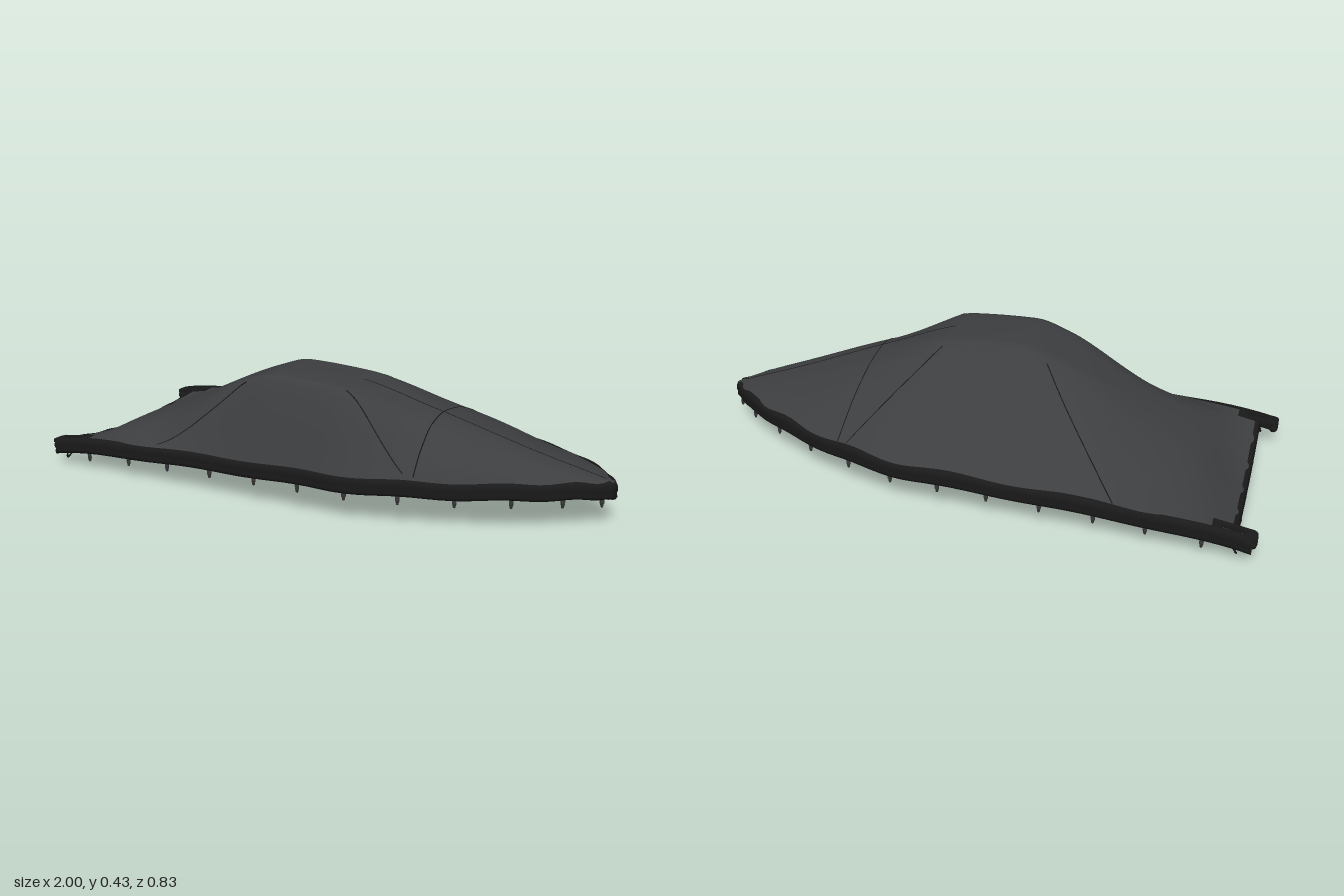
import * as THREE from 'three';

// Cross-section shapes: z as a share of the half width, rise as a share of edge-to-crest
const sag = { z: [-.73, -.37, 0, .24, .49, .73, .88], rise: [.35, .75, 1, .96, .65, .35, .12] };
const hump = { z: sag.z, rise: [.35, .72, .96, 1, .96, .68, .25] };
const peak = { z: [-.49, -.17, .04, .15, .5, .71, .79], rise: [.47, .75, .93, .99, 1, .98, .79] };
const dome = { z: [-.58, -.29, 0, .32, .58, .75, .9], rise: [.49, .75, .925, 1, .9, .66, .32] };

// Stations from stern to bow: x, half width, edge height, crest height, shape
const STATIONS = [
  [-1, .41, .088, .055, sag], [-.93, .41, .1, .06, sag], [-.75, .41, .118, .16, hump],
  [-.55, .41, .13, .245, hump], [-.22, .41, .143, .396, peak], [-.1, .41, .147, .43, peak],
  [.14, .41, .153, .418, peak], [.43, .345, .155, .328, dome], [.75, .2, .155, .218, dome],
  [.9, .1, .153, .172, dome], [.985, .015, .142, .145, dome],
].map(([x, half, edge, crest, shape]) => ({
  x,
  z: [-1, ...shape.z, 1].map(f => f * half),
  y: [0, ...shape.rise, 0].map(f => edge + f * (crest - edge)),
}));

// Monotone cubic interpolation through points xs, ys
function smooth(xs, ys, x) {
  const n = xs.length;
  x = Math.min(Math.max(x, xs[0]), xs[n - 1]);
  let i = 0;
  while (i < n - 2 && x > xs[i + 1]) i++;
  const d = k => (ys[k + 1] - ys[k]) / (xs[k + 1] - xs[k]);
  const m = k => {
    if (k === 0) return d(0);
    if (k === n - 1) return d(n - 2);
    const a = d(k - 1), b = d(k);
    return a * b <= 0 ? 0 : 2 * a * b / (a + b);
  };
  const h = xs[i + 1] - xs[i], t = (x - xs[i]) / h, t2 = t * t, t3 = t2 * t;
  return (2 * t3 - 3 * t2 + 1) * ys[i] + (t3 - 2 * t2 + t) * h * m(i)
    + (3 * t2 - 2 * t3) * ys[i + 1] + (t3 - t2) * h * m(i + 1);
}

const STATION_X = STATIONS.map(s => s.x);
const column = (axis, k, x) => smooth(STATION_X, STATIONS.map(s => s[axis][k]), x);
const halfWidth = x => column('z', 8, x);
const edgeY = x => column('y', 8, x);
function height(x, z) {
  const zs = [], ys = [];
  for (let k = 0; k < 9; k++) {
    zs.push(column('z', k, x));
    ys.push(column('y', k, x));
  }
  return smooth(zs, ys, z);
}

// Surface from a grid of points; skip(i, j) leaves out a cell
function grid(nu, nv, point, skip = () => false) {
  const pos = [], idx = [];
  for (let i = 0; i <= nu; i++) for (let j = 0; j <= nv; j++) pos.push(...point(i, j));
  for (let i = 0; i < nu; i++) for (let j = 0; j < nv; j++) {
    if (skip(i, j)) continue;
    const a = i * (nv + 1) + j, b = a + nv + 1;
    idx.push(a, a + 1, b, b, a + 1, b + 1);
  }
  const g = new THREE.BufferGeometry();
  g.setAttribute('position', new THREE.Float32BufferAttribute(pos, 3));
  g.setIndex(idx);
  g.computeVertexNormals();
  return g;
}

// Rolled hem section: outward offset, height from the edge
const HEM = [[-.012, .004], [0, .003], [.005, -.006], [.007, -.02], [.003, -.032], [.006, -.042],
  [.002, -.052], [-.008, -.053], [-.014, -.045], [-.012, -.02], [-.012, .004]];

// Sweep the hem along a path
function sweepHem(path) {
  return grid(path.length - 1, HEM.length - 1, (i, j) => {
    const p = path[i], a = path[Math.max(i - 1, 0)], b = path[Math.min(i + 1, path.length - 1)];
    const t = new THREE.Vector3(b.x - a.x, 0, b.z - a.z).normalize();
    const [o, y] = HEM[j];
    const wave = .0025 * Math.sin(i * .7);
    return [p.x + t.z * o, p.y + y + wave, p.z - t.x * o];
  });
}

export function createModel() {
  const model = new THREE.Group();
  const fabric = new THREE.MeshStandardMaterial({ color: 0x3c3e40, side: THREE.DoubleSide });
  const trim = new THREE.MeshStandardMaterial({ color: 0x1a1a1b, side: THREE.DoubleSide });
  const webbing = new THREE.MeshStandardMaterial({ color: 0x38383a });
  const add = (name, geometry, material, parent = model) => {
    const mesh = new THREE.Mesh(geometry, material);
    mesh.name = name;
    parent.add(mesh);
    return mesh;
  };

  // Tented cover, open below, cut away at the two stern corners
  const ROWS = 93, COLS = 56;
  const rowX = i => i < 3 ? -.93 + i * .07 / 3 : -.86 + (i - 3) * 1.845 / 90;
  add('cover', grid(ROWS, COLS, (i, j) => {
    const x = rowX(i), z = halfWidth(x) * (j * 2 / COLS - 1);
    return [x, height(x, z), z];
  }, (i, j) => i < 3 && (j < 4 || j >= COLS - 4)), fabric);

  // Hem around both sides and the bow
  const SIDE = 60, left = [], right = [];
  for (let i = 0; i <= SIDE; i++) {
    const x = -.985 + 1.97 * Math.sin(i / SIDE * Math.PI / 2);
    right.push(new THREE.Vector3(x, edgeY(x), -halfWidth(x)));
    left.unshift(new THREE.Vector3(x, edgeY(x), halfWidth(x)));
  }
  add('sideHem', sweepHem([...right, new THREE.Vector3(.992, .142, 0), ...left]), trim);

  // Sagging hem across the stern
  const stern = [];
  for (let i = 0; i <= 40; i++) {
    const z = .365 - .73 * i / 40;
    stern.push(new THREE.Vector3(-.93, height(-.93, z), z));
  }
  add('sternHem', sweepHem(stern), trim);

  // Slotted corner flap that follows the edge height
  const flap = new THREE.Shape();
  flap.moveTo(-.855, .348).lineTo(-.985, .352).quadraticCurveTo(-1, .355, -1, .375)
    .lineTo(-1, .398).quadraticCurveTo(-1, .412, -.985, .412).lineTo(-.855, .412);
  const slot = new THREE.Path();
  slot.moveTo(-.96, .372).lineTo(-.96, .39).lineTo(-.882, .388).lineTo(-.882, .37);
  flap.holes.push(slot);
  const flapGeometry = new THREE.ExtrudeGeometry(flap, { depth: .012, bevelEnabled: false, curveSegments: 6 });
  flapGeometry.rotateX(Math.PI / 2);
  const p = flapGeometry.attributes.position;
  for (let i = 0; i < p.count; i++) p.setY(i, p.getY(i) + edgeY(p.getX(i)) + .002);
  flapGeometry.computeVertexNormals();

  // Hanging strap with a tapered buckle
  const strap = (x, y, z, turn) => {
    const g = new THREE.Group();
    g.name = 'strap';
    add('strapWebbing', new THREE.BoxGeometry(.014, .022, .005), webbing, g).position.y = -.008;
    add('strapBuckle', new THREE.CylinderGeometry(.007, .004, .016, 8), webbing, g).position.y = -.023;
    g.position.set(x, y, z);
    g.rotation.y = turn;
    model.add(g);
  };

  for (const s of [-1, 1]) {
    // Stern corners: flap, rolled end and tie cord
    add('cornerFlap', flapGeometry, trim).scale.z = s;
    const roll = add('cornerRoll', new THREE.CapsuleGeometry(.016, .03, 4, 10), trim);
    roll.rotation.x = Math.PI / 2;
    roll.position.set(-.984, .068, s * .382);
    const cord = new THREE.CatmullRomCurve3([
      new THREE.Vector3(-.93, .06, s * .4), new THREE.Vector3(-.935, .04, s * .408),
      new THREE.Vector3(-.94, .028, s * .4), new THREE.Vector3(-.925, .045, s * .395)]);
    add('tieCord', new THREE.TubeGeometry(cord, 16, .003, 6), trim);

    // Straps along the side and on the stern
    for (const x of [-.83, -.65, -.48, -.3, -.12, .05, .22, .39, .56, .72, .86, .96])
      strap(x, edgeY(x) - .048, s * (halfWidth(x) - .004), s * Math.max(0, x - .3));
    strap(-.93, .031, s * .19, Math.PI / 2);
  }

  // Stitched seams lying on the cover: start x, z and end x, z
  const seams = [
    [-.21, .02, -.54, -.4], [.17, .02, .4, -.34], [.17, .16, .96, .005],
    [-.21, .3, -.53, .395], [.17, .29, .4, .34], [.435, -.335, .435, .335],
  ];
  for (const [x0, z0, x1, z1] of seams) {
    const pts = [];
    for (let i = 0; i <= 24; i++) {
      const x = x0 + (x1 - x0) * i / 24, z = z0 + (z1 - z0) * i / 24;
      pts.push(new THREE.Vector3(x, height(x, z) - .0005, z));
    }
    add('seam', new THREE.TubeGeometry(new THREE.CatmullRomCurve3(pts), 48, .002, 5), trim);
  }
  return model;
}
